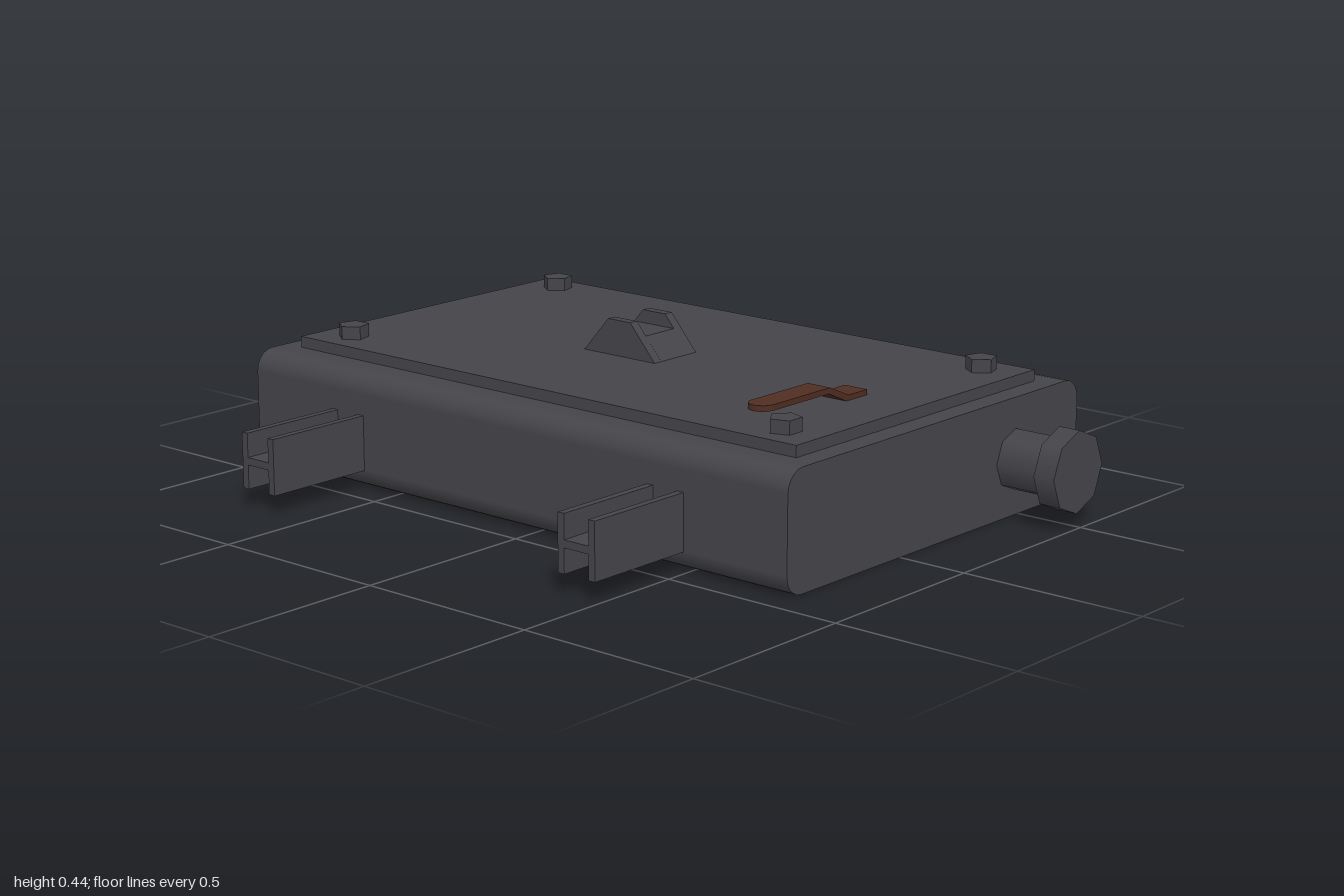
import * as THREE from 'three';

const BODY = { x0: -0.44, x1: 0.755, h: 0.31, z0: -1, z1: 0.81, r: 0.055 };
const LID = { x0: -0.335, x1: 0.645, y0: 0.31, y1: 0.34, z0: -0.94, z1: 0.75 };

export function createModel() {
  const steel = new THREE.MeshStandardMaterial({ color: 0x454449, side: THREE.DoubleSide });
  steel.name = 'dark steel';
  const rust = new THREE.MeshStandardMaterial({ color: 0x502d23, side: THREE.DoubleSide });
  rust.name = 'rust brown';

  const model = new THREE.Group();
  model.name = 'electricBox';

  const add = (name, geometry, material = steel, parent = model) => {
    const mesh = new THREE.Mesh(geometry, material);
    mesh.name = name;
    parent.add(mesh);
    return mesh;
  };
  const group = (name) => {
    const g = new THREE.Group();
    g.name = name;
    model.add(g);
    return g;
  };
  // box given by its limits
  const box = (x0, x1, y0, y1, z0, z1) =>
    new THREE.BoxGeometry(x1 - x0, y1 - y0, z1 - z0)
      .translate((x0 + x1) / 2, (y0 + y1) / 2, (z0 + z1) / 2);
  const polygon = (pts) => new THREE.Shape(pts.map(([x, y]) => new THREE.Vector2(x, y)));
  const rect = (x0, x1, y0, y1) => [[x0, y0], [x1, y0], [x1, y1], [x0, y1]];

  // ---- Housing: thin shell, open underneath ----
  const housing = group('housing');
  const { x0, x1, h, z0, z1, r } = BODY;
  const STEPS = 5;
  // points and normals of one rounded corner
  const corner = (cx, cy, start) => Array.from({ length: STEPS + 1 }, (_, i) => {
    const a = start + (i / STEPS) * Math.PI / 2;
    const nx = Math.cos(a), ny = Math.sin(a);
    return { x: cx + r * nx, y: cy + r * ny, nx, ny };
  });
  const rightSide = [...corner(x1 - r, r, -Math.PI / 2), ...corner(x1 - r, h - r, 0)];
  const leftSide = [...corner(x0 + r, h - r, Math.PI / 2), ...corner(x0 + r, r, Math.PI)];

  const sideSheet = (profile) => {
    const pos = [], nor = [], idx = [];
    profile.forEach((p, i) => {
      pos.push(p.x, p.y, z0, p.x, p.y, z1);
      nor.push(p.nx, p.ny, 0, p.nx, p.ny, 0);
      const a = 2 * i;
      if (i < profile.length - 1) idx.push(a, a + 2, a + 1, a + 1, a + 2, a + 3);
    });
    const g = new THREE.BufferGeometry();
    g.setAttribute('position', new THREE.Float32BufferAttribute(pos, 3));
    g.setAttribute('normal', new THREE.Float32BufferAttribute(nor, 3));
    g.setIndex(idx);
    return g;
  };
  add('leftSideWall', sideSheet(rightSide), steel, housing);
  add('rightSideWall', sideSheet(leftSide), steel, housing);

  // end walls
  const mid = (x0 + x1) / 2;
  const endShape = polygon([...rightSide, ...leftSide].map((p) => [p.x - mid, p.y]));
  add('frontWall', new THREE.ShapeGeometry(endShape), steel, housing).position.set(mid, 0, z1);
  const back = add('backWall', new THREE.ShapeGeometry(endShape), steel, housing);
  back.position.set(mid, 0, z0);
  back.rotation.y = Math.PI;

  // top deck with an opening under the raised panel
  const deck = polygon(rect(x0 + r, x1 - r, -z1, -z0));
  deck.holes.push(polygon(rect(LID.x0, LID.x1, -LID.z1, -LID.z0)));
  add('topDeck', new THREE.ShapeGeometry(deck).rotateX(-Math.PI / 2).translate(0, h, 0), steel, housing);

  // raised panel, a box without its bottom face
  const panel = box(LID.x0, LID.x1, LID.y0, LID.y1, LID.z0, LID.z1);
  panel.setIndex(Array.from(panel.index.array).filter((_, i) => i < 18 || i >= 24));
  panel.clearGroups();
  add('raisedPanel', panel, steel, housing);

  // ---- Bolts ----
  const bolts = group('bolts');
  const spots = [[-0.247, -0.83, -1], [0.557, -0.83, -1], [-0.25, 0.648, 2], [0.553, 0.648, -1]];
  for (const [x, z, turn] of spots) {
    const g = new THREE.CylinderGeometry(0.042, 0.042, 0.038, 5).toNonIndexed();
    g.computeVertexNormals();
    const bolt = add('bolt', g, steel, bolts);
    bolt.position.set(x, 0.356, z);
    bolt.rotation.y = turn * Math.PI / 2;
  }

  // ---- Central catch: low wedge between two taller cheeks ----
  const catchGroup = group('catch');
  const wedge = (xa, xb, pts) =>
    new THREE.ExtrudeGeometry(polygon(pts), { depth: xb - xa, bevelEnabled: false })
      .rotateY(-Math.PI / 2).translate(xb, 0, 0);
  const tall = [[-0.275, 0.335], [-0.022, 0.335], [-0.11, 0.435], [-0.187, 0.435]];
  const low = [[-0.275, 0.335], [-0.022, 0.335], [-0.079, 0.4], [-0.214, 0.4]];
  add('catchCheek', wedge(0.055, 0.081, tall), steel, catchGroup);
  add('catchCentre', wedge(0.081, 0.193, low), steel, catchGroup);
  add('catchCheek', wedge(0.193, 0.22, tall), steel, catchGroup);

  // ---- Bent strap with a rounded free end ----
  const strap = group('strap');
  const sz = 0.55, sr = 0.035, sx = -0.215;
  const bend = polygon([
    [sx, 0.372], [0, 0.372], [0.075, 0.338], [0.155, 0.338],
    [0.155, 0.354], [0.08, 0.354], [0.005, 0.387], [sx, 0.387],
  ]);
  add('strapBar', new THREE.ExtrudeGeometry(bend, { depth: 2 * sr, bevelEnabled: false })
    .translate(0, 0, sz - sr), rust, strap);
  add('strapEnd', new THREE.CylinderGeometry(sr, sr, 0.015, 8, 1, false, Math.PI, Math.PI), rust, strap)
    .position.set(sx, 0.3795, sz);

  // ---- H-section brackets on the right side ----
  for (const z of [-0.655, 0.436]) {
    const bracket = group('bracket');
    const xa = -0.755, xb = -0.43, w = 0.058, t = 0.02;
    add('bracketFlange', box(xa, xb, 0.052, 0.2, z - w, z - w + t), steel, bracket);
    add('bracketFlange', box(xa, xb, 0.052, 0.2, z + w - t, z + w), steel, bracket);
    add('bracketWeb', box(xa, xb, 0.116, 0.136, z - w + t, z + w - t), steel, bracket);
  }

  // ---- Front pipe stub with cap ----
  const pipe = group('pipe');
  const tube = (radius, za, zb) =>
    new THREE.CylinderGeometry(radius, radius, zb - za, 8)
      .rotateX(Math.PI / 2).translate(0.48, 0.148, (za + zb) / 2);
  add('pipeStub', tube(0.08, 0.805, 0.945), steel, pipe);
  add('pipeCap', tube(0.108, 0.94, 1), steel, pipe);

  return model;
}
